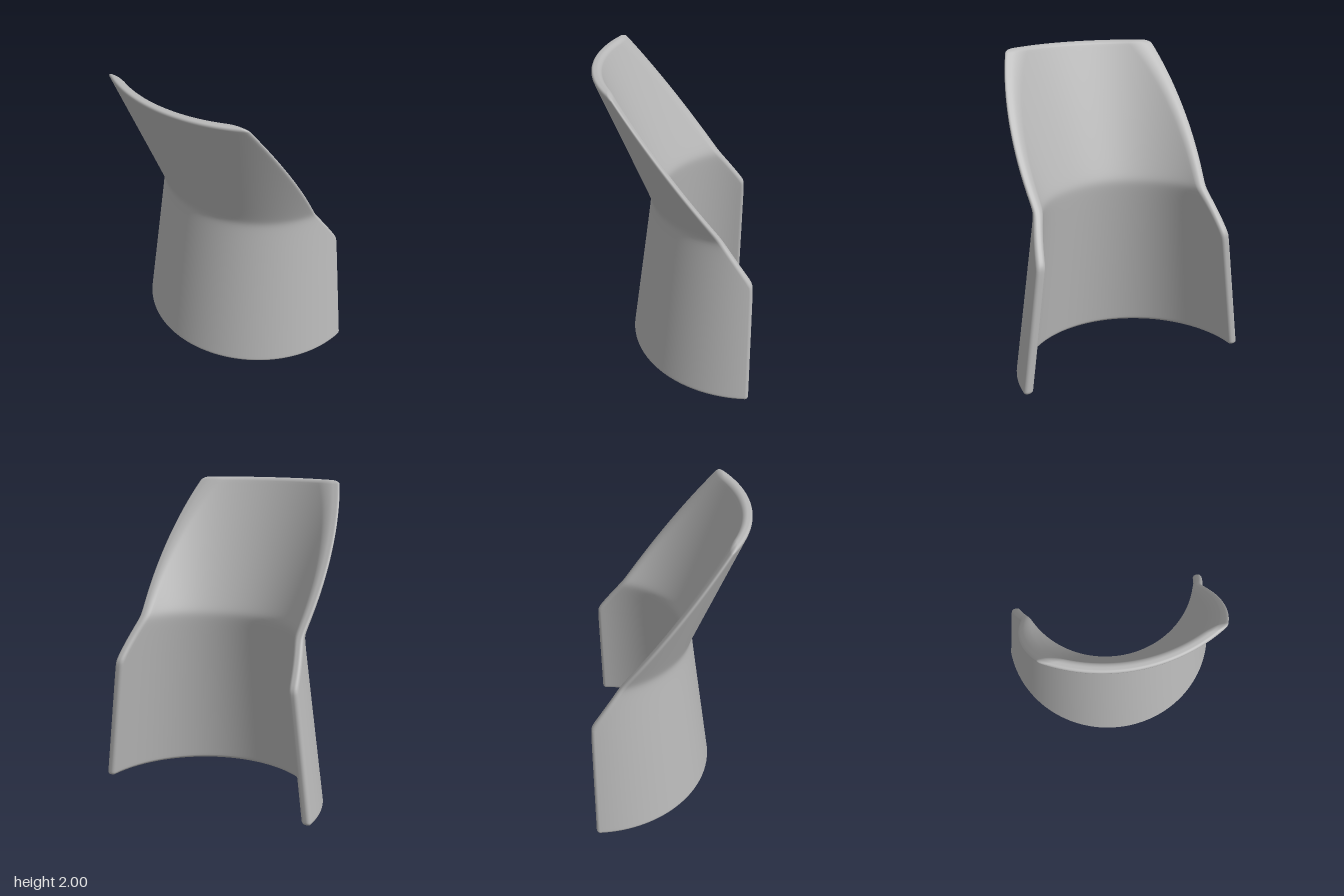
import * as THREE from 'three';

const AXIS_Z = -0.5;     // axis of the round wall
const WALL = 0.062;      // wall thickness
const ROUND = 0.024;     // edge rounding
const HEIGHT = 2;
const ARC = 64, CORNER = 6, ROWS = 110;

// smooth "V" used to soften bends
const bend = (d, w) => Math.sqrt(d * d + w * w);

// outer radius: tapers in to the waist, then flares out
const outerRadius = (y) => 0.645 + 0.1365 * (y - 1.1) + 0.2635 * bend(y - 1.1, 0.03);

// distance of the back cut in front of the axis: upright, then sloping forward
const cutDepth = (y) => 0.359 * (y - 0.83 + bend(y - 0.83, 0.02));

// heights, closely spaced where the rims are rounded
function rowHeights() {
  const ys = [];
  for (let k = 0; k <= CORNER; k++) ys.push(ROUND * (1 - Math.cos((k / CORNER) * Math.PI / 2)));
  for (let k = 1; k < ROWS; k++) ys.push(ROUND + (HEIGHT - 2 * ROUND) * k / ROWS);
  for (let k = CORNER; k >= 0; k--) ys.push(HEIGHT - ROUND * (1 - Math.cos((k / CORNER) * Math.PI / 2)));
  return ys;
}

// one side of a cross-section, from the -x end to the +x end
function sideCurve(radius, inward, r, cut, rCut) {
  const end = [];
  for (let k = 0; k <= CORNER; k++) {
    const a = (k / CORNER) * Math.PI / 2;
    const rho = radius + inward * r * (1 - Math.cos(a));
    end.push([rho, Math.acos((cut + rCut * (1 - Math.sin(a))) / rho)]);
  }
  const limit = end[0][1];
  const pts = end.slice().reverse().map(([rho, t]) => [rho, -t]);
  for (let k = 1; k < ARC; k++) pts.push([radius, limit * (2 * k / ARC - 1)]);
  return pts.concat(end);
}

function shellGeometry() {
  const positions = [], index = [];
  const ys = rowHeights();
  let n = 0;
  for (const y of ys) {
    // draw the section in near the bottom and top rims
    const d = Math.min(y, HEIGHT - y, ROUND);
    const inset = ROUND - Math.sqrt(Math.max(0, ROUND * ROUND - (ROUND - d) ** 2));
    const r = Math.max(ROUND - inset, 0.001);
    const rCut = y > 0.83 ? r * 1.23 : r;
    const R = outerRadius(y), cut = cutDepth(y) + inset;
    const loop = [
      ...sideCurve(R - inset, -1, r, cut, rCut),
      ...sideCurve(R - WALL + inset, 1, r, cut, rCut).reverse(),
    ];
    n = loop.length;
    for (const [rho, t] of loop) positions.push(rho * Math.sin(t), y, AXIS_Z + rho * Math.cos(t));
  }
  // skin between neighbouring sections
  for (let j = 0; j < ys.length - 1; j++) {
    for (let i = 0; i < n; i++) {
      const a = j * n + i, b = j * n + (i + 1) % n;
      index.push(a, b, b + n, a, b + n, a + n);
    }
  }
  // bottom and top rims
  const top = (ys.length - 1) * n;
  for (let i = 0; i < n / 2 - 1; i++) {
    const o = n - 1 - i;
    index.push(i, o, i + 1, i + 1, o, o - 1);
    index.push(top + i, top + i + 1, top + o, top + i + 1, top + o - 1, top + o);
  }
  const geometry = new THREE.BufferGeometry();
  geometry.setAttribute('position', new THREE.Float32BufferAttribute(positions, 3));
  geometry.setIndex(index);
  geometry.computeVertexNormals();
  return geometry;
}

export function createModel() {
  const grey = new THREE.MeshStandardMaterial({ color: 0xb8b8b8 });
  grey.name = 'lightGrey';
  const shell = new THREE.Mesh(shellGeometry(), grey);
  shell.name = 'curvedShell';
  const group = new THREE.Group();
  group.name = 'flaredHalfShell';
  group.add(shell);
  return group;
}
